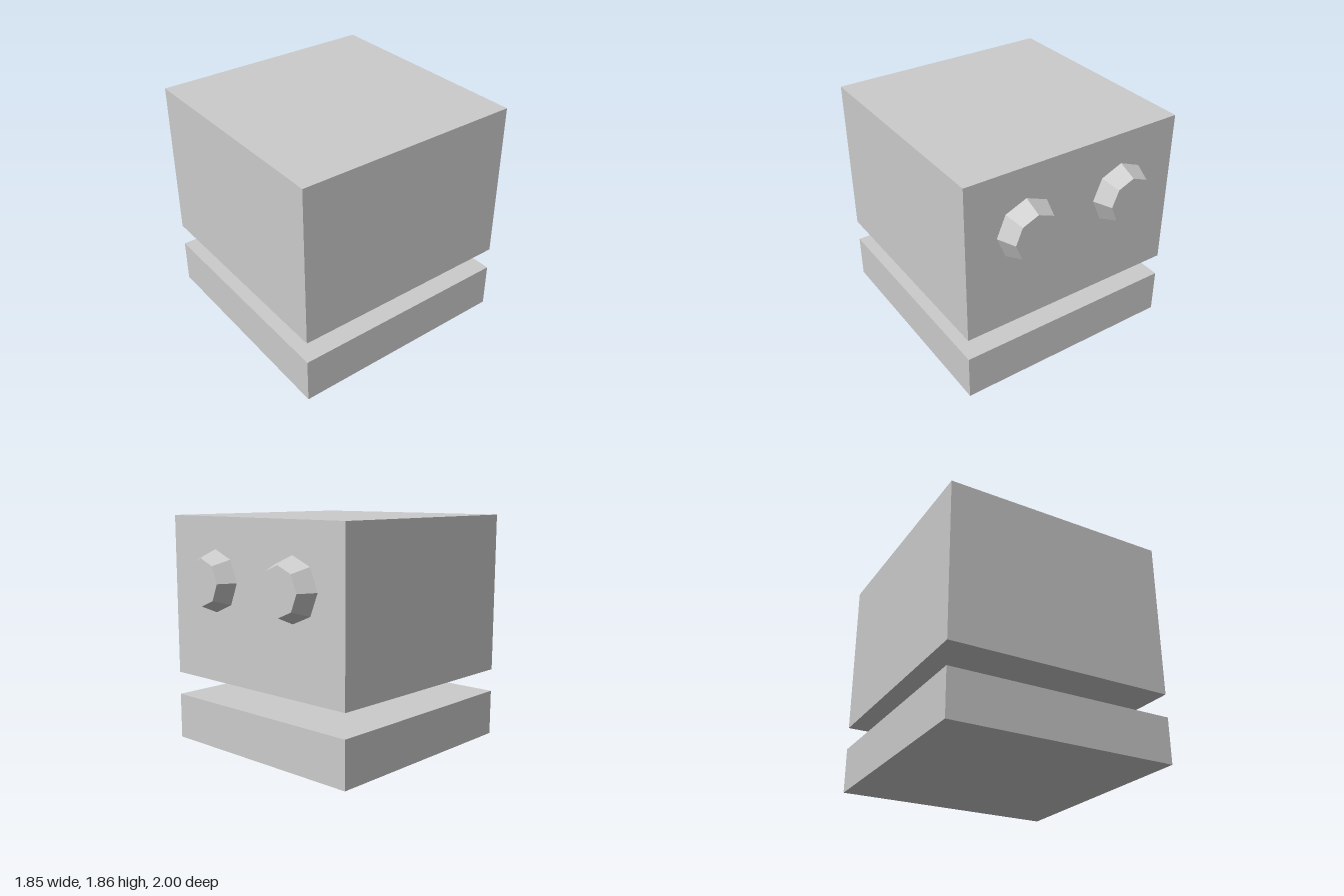
import * as THREE from 'three';

export function createModel() {
  const model = new THREE.Group();
  const material = new THREE.MeshStandardMaterial({ color: 0xcccccc, flatShading: true });

  const width = 1.85, back = -0.855, front = 1;

  // Slab spanning the full footprint between two heights
  function addBlock(name, bottom, top) {
    const block = new THREE.Mesh(new THREE.BoxGeometry(width, top - bottom, front - back), material);
    block.name = name;
    block.position.set(0, (bottom + top) / 2, (front + back) / 2);
    model.add(block);
  }
  addBlock('baseSlab', 0, 0.372);
  addBlock('upperBlock', 0.56, 1.857);

  // Tapered octagonal knobs, narrowing away from the back face
  const depth = 0.145;
  const knobGeometry = new THREE.CylinderGeometry(0.186, 0.246, depth, 8);
  knobGeometry.rotateX(-Math.PI / 2);
  for (const side of [1, -1]) {
    const knob = new THREE.Mesh(knobGeometry, material);
    knob.name = side > 0 ? 'leftKnob' : 'rightKnob';
    knob.position.set(side * 0.423, 1.361, back - depth / 2);
    model.add(knob);
  }

  return model;
}
